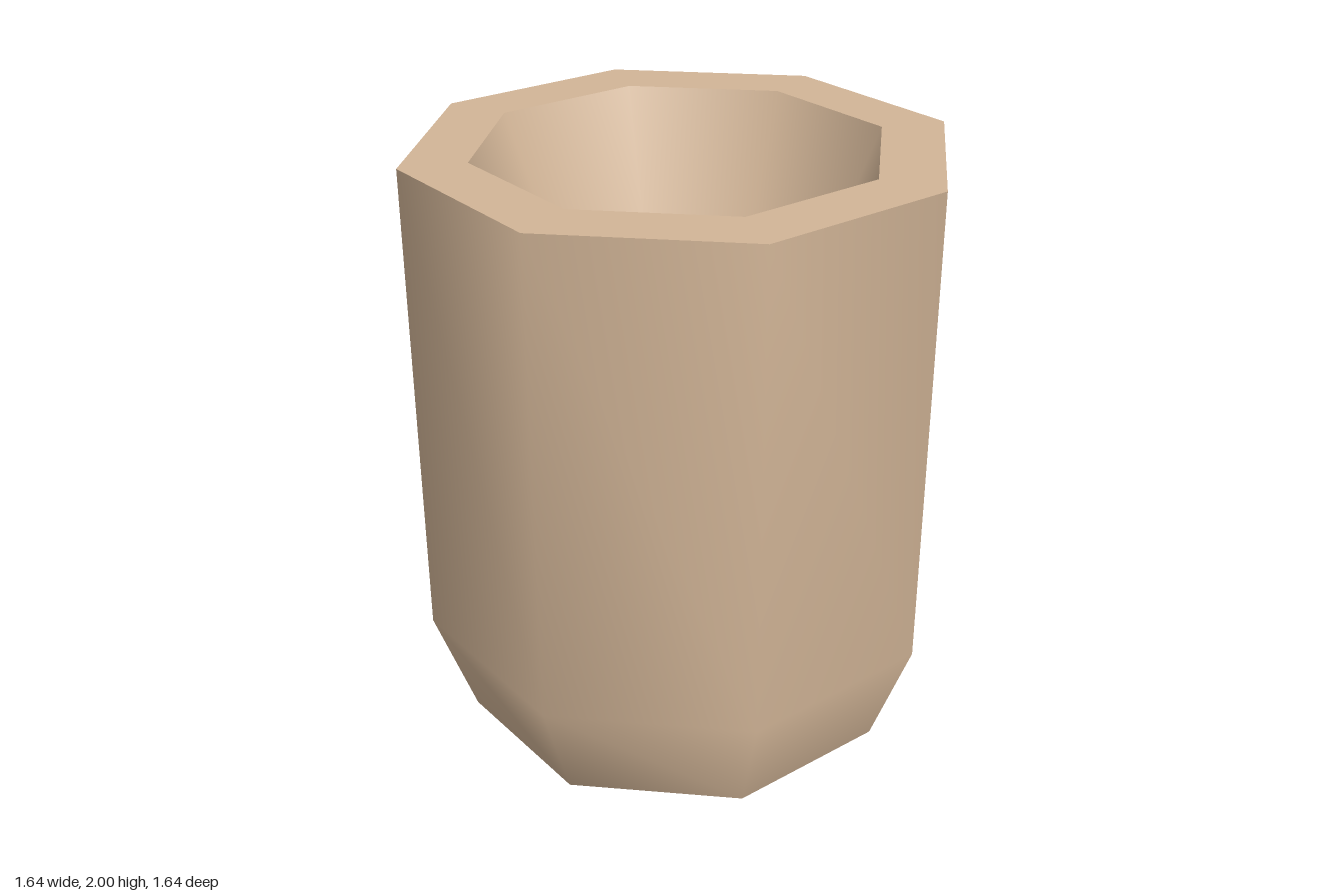
import * as THREE from 'three';
import { mergeVertices } from 'three/addons/utils/BufferGeometryUtils.js';

const SIDES = 8;
const toRadius = (flat) => flat / Math.cos(Math.PI / SIDES);

// Revolves [half width across flats, height] points into an eight-sided shell with shared smooth normals
function shell(name, profile, material) {
  const points = profile.map(([flat, y]) => new THREE.Vector2(toRadius(flat), y));
  const lathe = new THREE.LatheGeometry(points, SIDES, Math.PI / SIDES, Math.PI * 2);
  lathe.deleteAttribute('uv');
  lathe.deleteAttribute('normal');
  const geometry = mergeVertices(lathe, 1e-4);
  geometry.computeVertexNormals();
  const mesh = new THREE.Mesh(geometry, material);
  mesh.name = name;
  return mesh;
}

export function createModel() {
  const clay = new THREE.MeshStandardMaterial({ color: 0xd2b597 });
  clay.name = 'tan clay';

  const outer = 0.82, inner = 0.62, foot = 0.695, shoulder = 0.375, top = 2;

  const group = new THREE.Group();
  group.name = 'octagonalCup';
  group.add(
    // flat underside
    shell('base', [[0, 0], [foot, 0]], clay),
    // tapered foot and straight wall
    shell('outerWall', [[foot, 0], [outer, shoulder], [outer, top]], clay),
    // flat ring around the opening
    shell('rim', [[outer, top], [inner, top]], clay),
    // hollow narrowing to a point
    shell('cavity', [[inner, top], [0, shoulder]], clay),
  );
  return group;
}
